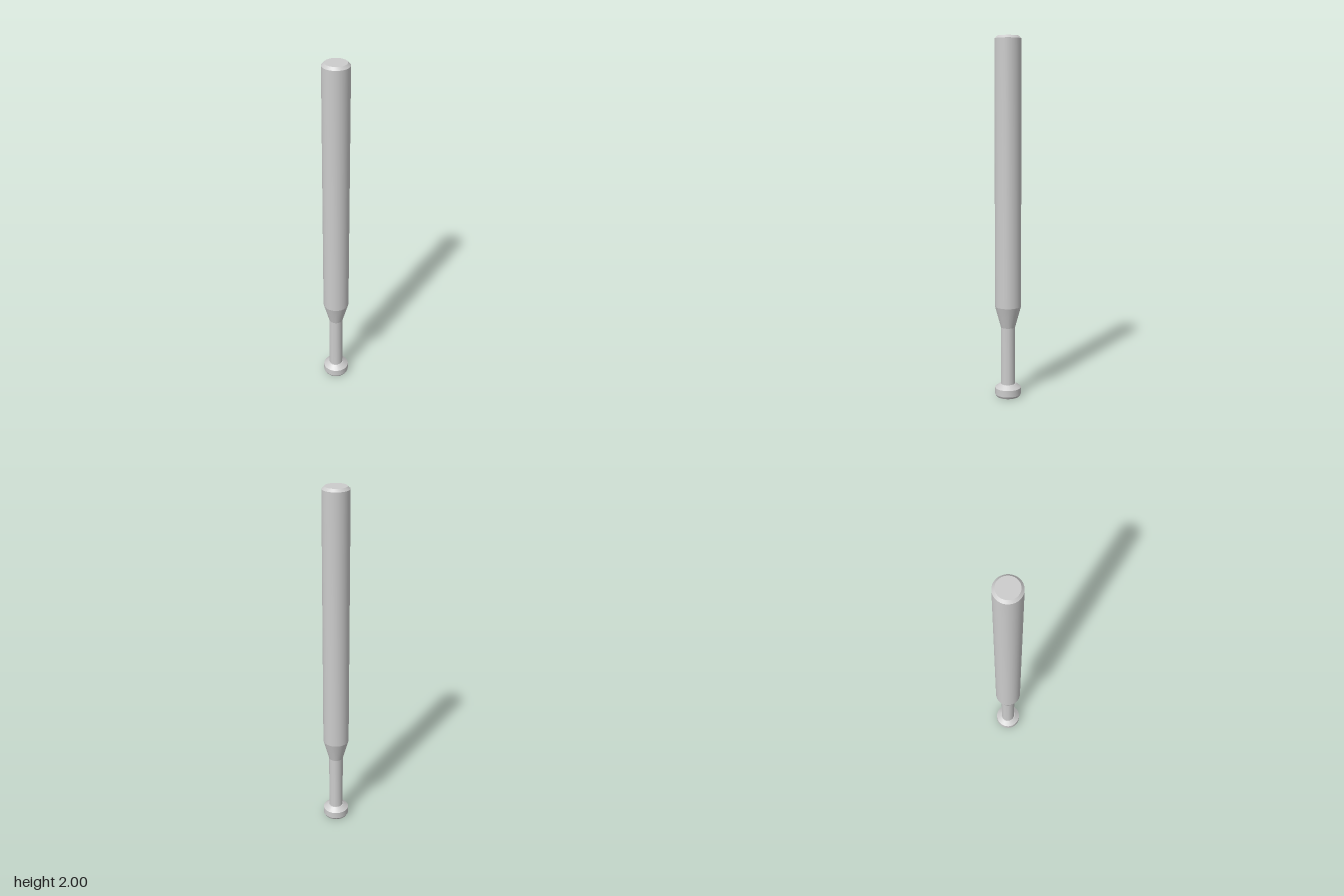
import * as THREE from 'three';
import { toCreasedNormals } from 'three/addons/utils/BufferGeometryUtils.js';

const SIDES = 32;
const BARREL_R = 0.073;
const HANDLE_R = 0.04;

export function createModel() {
  const bat = new THREE.Group();
  bat.name = 'bat';
  const material = new THREE.MeshStandardMaterial({ color: 0xcccccc });

  // Turned part: profile of [radius, height] from bottom to top,
  // smooth around the axis and sharp at the profile's corners
  function turned(name, profile) {
    const points = profile.map(([r, y]) => new THREE.Vector2(r, y));
    const geometry = toCreasedNormals(new THREE.LatheGeometry(points, SIDES), 0.22);
    const mesh = new THREE.Mesh(geometry, material);
    mesh.name = name;
    bat.add(mesh);
  }

  // Knob with chamfered rims, closed underneath and around the handle
  turned('knob', [
    [0, 0], [0.066, 0], [BARREL_R, 0.012], [BARREL_R, 0.05],
    [0.044, 0.072], [HANDLE_R, 0.072],
  ]);

  // Thin straight handle
  turned('handle', [[HANDLE_R, 0.072], [HANDLE_R, 0.4]]);

  // Cone widening from handle to barrel
  turned('taper', [[HANDLE_R, 0.4], [BARREL_R, 0.52]]);

  // Long barrel with a chamfered flat end
  turned('barrel', [
    [BARREL_R, 0.52], [BARREL_R, 1.986], [0.059, 2], [0, 2],
  ]);

  return bat;
}
